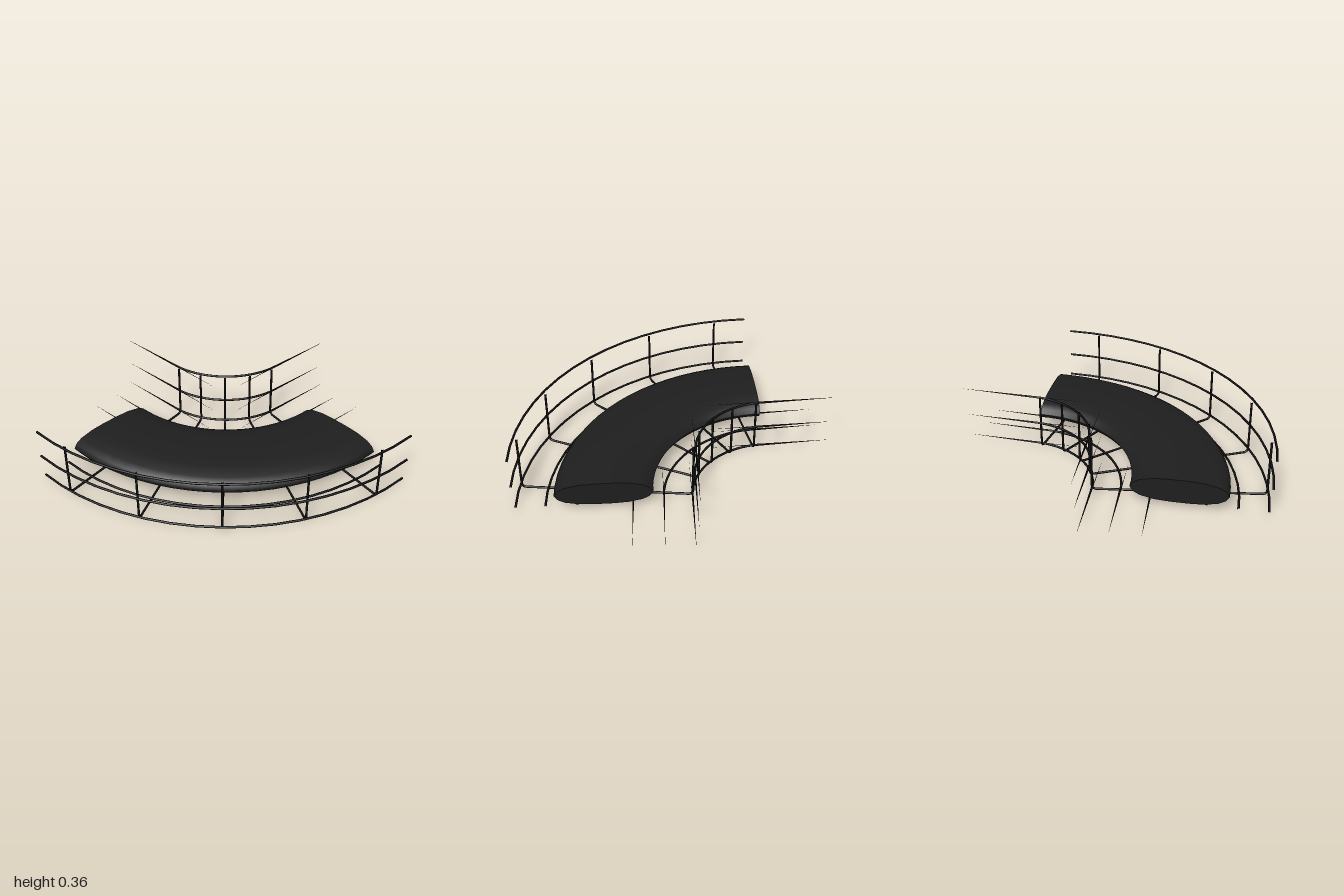
import * as THREE from 'three';

const CENTRE = -0.55;          // bend centre, same on x and z
const ROD = 0.007;             // rod radius
const QUARTER = Math.PI / 2;
const UP = new THREE.Vector3(0, 1, 0);

export function createModel() {
  const model = new THREE.Group();
  const bend = new THREE.Group();
  bend.name = 'conveyorBend';
  bend.position.set(CENTRE, 0, CENTRE);
  model.add(bend);

  const beltMaterial = new THREE.MeshStandardMaterial({ color: 0x1e1e1e });
  const capMaterial = new THREE.MeshStandardMaterial({ color: 0x1e1e1e, side: THREE.DoubleSide });
  const rodMaterial = new THREE.MeshStandardMaterial({ color: 0x111111 });

  const add = (name, geometry, material) => {
    const mesh = new THREE.Mesh(geometry, material);
    mesh.name = name;
    bend.add(mesh);
    return mesh;
  };

  // Belt: lens-shaped section swept through a quarter turn
  const half = [[0.73, 0], [0.75, 0.03], [0.79, 0.052], [0.87, 0.069], [0.96, 0.074],
    [1.07, 0.074], [1.16, 0.069], [1.24, 0.052], [1.28, 0.03], [1.30, 0]];
  const midY = 0.106;
  const section = [
    ...half.map(([r, h]) => new THREE.Vector2(r, midY - h)),
    ...half.slice(0, -1).reverse().map(([r, h]) => new THREE.Vector2(r, midY + h)),
  ];
  add('belt', new THREE.LatheGeometry(section, 20, 0, QUARTER), beltMaterial);
  for (const turn of [0, -QUARTER]) {
    const cap = add('beltEnd', new THREE.ShapeGeometry(new THREE.Shape(section)), capMaterial);
    cap.rotation.y = turn;
  }

  // Curved rail covering the bend, shortened by the same angle at both ends
  function rail(name, r, y, trim = 0) {
    const g = new THREE.TorusGeometry(r, ROD, 8, 16, QUARTER - 2 * trim);
    g.rotateZ(trim);
    g.rotateX(QUARTER);
    g.translate(0, y, 0);
    add(name, g, rodMaterial);
  }

  // Tapered point running from one place to another
  function spike(from, to, radius) {
    const dir = to.clone().sub(from);
    const g = new THREE.ConeGeometry(radius, dir.length(), 6);
    g.applyQuaternion(new THREE.Quaternion().setFromUnitVectors(UP, dir.clone().normalize()));
    const mid = from.clone().add(to).multiplyScalar(0.5);
    g.translate(mid.x, mid.y, mid.z);
    add('railPoint', g, rodMaterial);
  }

  // Outer rails with plain ends
  rail('outerTopRail', 1.538, 0.36);
  rail('outerMiddleRail', 1.535, 0.18);
  rail('outerLowerRail', 1.523, 0.03);
  rail('outerBeltRail', 1.352, 0.03);
  rail('innerBeltRail', 1.17, 0.03);

  // Inner rails drawn out to long points: radius, height, reach, backward reach
  const trim = THREE.MathUtils.degToRad(8.5);
  const inner = [
    ['innerTopRail', 0.488, 0.36, 0.44, 0.40],
    ['innerMiddleRail', 0.49, 0.18, 0.42, 0.40],
    ['innerLowerRail', 0.503, 0.03, 0.42, 0.38],
    ['supportRail', 0.67, 0.03, 0.37, 0.33],
    ['supportRail', 0.85, 0.03, 0.37, 0.30],
  ];
  for (const [name, r, y, reach, back] of inner) {
    rail(name, r, y, trim);
    const place = (u, v, swap) => new THREE.Vector3(swap ? v : u, y, swap ? u : v);
    for (const swap of [false, true]) {
      const start = place(r * Math.cos(trim), r * Math.sin(trim), swap);
      spike(start, place(r + 0.017, -reach, swap), ROD);
      spike(place(r, 0, swap), place(r - 0.012, back, swap), 0.003);
    }
  }

  // Five U-shaped frames: floor bar with a post at each end
  const a = 0.499, b = 1.516, low = 0.012, top = 0.36, c = 0.03;
  const v = (x, y) => new THREE.Vector3(x, y, 0);
  const corner = (p, q, s) => new THREE.QuadraticBezierCurve3(p, q, s);
  const path = new THREE.CurvePath();
  path.add(new THREE.LineCurve3(v(a, top), v(a, low + c)));
  path.add(corner(v(a, low + c), v(a, low), v(a + c, low)));
  path.add(new THREE.LineCurve3(v(a + c, low), v(b - c, low)));
  path.add(corner(v(b - c, low), v(b, low), v(b, low + c)));
  path.add(new THREE.LineCurve3(v(b, low + c), v(b, top)));
  const frame = new THREE.TubeGeometry(path, 160, ROD, 8);
  for (let i = -2; i <= 2; i++) {
    const mesh = add('supportFrame', frame, rodMaterial);
    mesh.rotation.y = -THREE.MathUtils.degToRad(45 + i * 18.35);
  }

  return model;
}
